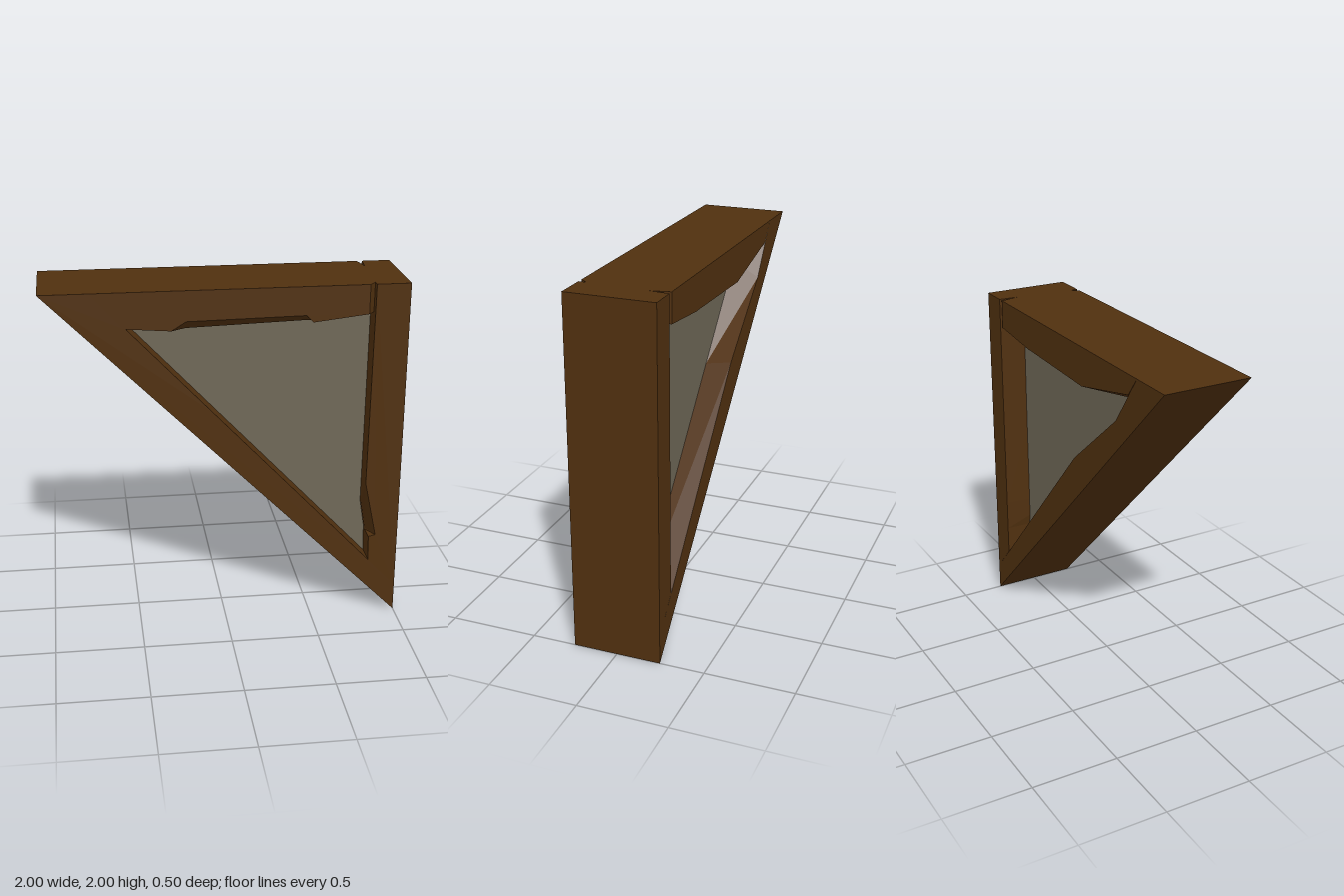
import * as THREE from 'three';

// Flat-faced solid through outlines [z, [x, y]...], listed from front to back
function loft(name, layers, material) {
  const rings = layers.map(([z, pts]) => {
    const ring = pts.map(([x, y]) => new THREE.Vector2(x, y));
    if (THREE.ShapeUtils.isClockWise(ring)) ring.reverse();
    return { z, ring };
  });
  const pos = [];
  const put = (r, i) => pos.push(r.ring[i].x, r.ring[i].y, r.z);
  const n = rings[0].ring.length;
  for (let k = 0; k < rings.length - 1; k++) {
    const f = rings[k], b = rings[k + 1];
    for (let i = 0; i < n; i++) {
      const j = (i + 1) % n;
      put(f, i); put(b, i); put(b, j);
      put(f, i); put(b, j); put(f, j);
    }
  }
  const first = rings[0], last = rings[rings.length - 1];
  for (const [a, b, c] of THREE.ShapeUtils.triangulateShape(first.ring, [])) {
    put(first, a); put(first, b); put(first, c);
  }
  for (const [a, b, c] of THREE.ShapeUtils.triangulateShape(last.ring, [])) {
    put(last, a); put(last, c); put(last, b);
  }
  const geo = new THREE.BufferGeometry();
  geo.setAttribute('position', new THREE.Float32BufferAttribute(pos, 3));
  geo.computeVertexNormals();
  const mesh = new THREE.Mesh(geo, material);
  mesh.name = name;
  return mesh;
}

export function createModel() {
  const wood = new THREE.MeshStandardMaterial({ name: 'dark wood', color: 0x50300f });
  const plaster = new THREE.MeshStandardMaterial({ name: 'grey plaster', color: 0x6e6757 });
  const group = new THREE.Group();
  group.name = 'triangularWallFrame';

  // Top beam, chipped along its lower edge and bevelled at the right joint
  const top = (left, right, edge) => [[left, 2], ...edge, [right, 1.835], [right, 2]];
  const plain = [[-0.61, 1.81], [-0.3, 1.78], [-0.22, 1.78], [0.43, 1.8], [0.47, 1.8]];
  group.add(loft('topBeam', [
    [0.25, top(-0.73, 0.775, [[-0.55, 1.8], [-0.3, 1.78], [-0.22, 1.83], [0.43, 1.84], [0.47, 1.8]])],
    [0.2, top(-0.73, 0.815, [[-0.55, 1.8], ...plain.slice(1)])],
    [-0.1, top(-0.74, 0.84, plain)],
    [-0.25, top(-0.744, 0.81, [[-0.66, 1.89], [-0.17, 1.78], [-0.1, 1.783], [0.43, 1.8], [0.47, 1.8]])],
  ], wood));

  // Upright beam, with a chip near the foot
  const upright = (edge) => [...edge, [1, 0.16], [1, 2]];
  group.add(loft('uprightBeam', [
    [0.25, upright([[0.81, 2], [0.8, 0.83], [0.87, 0.5], [0.83, 0.49], [0.835, 0.335]])],
    [0.15, upright([[0.81, 2], [0.8, 0.68], [0.83, 0.5], [0.83, 0.49], [0.835, 0.335]])],
    [-0.25, upright([[0.84, 2], [0.84, 0.68], [0.84, 0.5], [0.84, 0.49], [0.84, 0.335]])],
  ], wood));

  // Diagonal beam, chipped along its back edge
  const diagonal = (edge) => [[-1, 2], [1, 0], [1, 0.16], [0.84, 0.333], ...edge];
  const straight = [[-0.08, 1.309], [-0.536, 1.794], [-0.73, 2]];
  group.add(loft('diagonalBeam', [
    [0.25, diagonal(straight)],
    [-0.1, diagonal(straight)],
    [-0.25, diagonal([[-0.08, 1.335], [-0.536, 1.71], [-0.744, 2]])],
  ], wood));

  // Recessed infill panel
  const panel = [[-0.75, 1.9], [0.9, 0.2], [0.9, 1.9]];
  group.add(loft('infillPanel', [[0.12, panel], [-0.1, panel]], plaster));

  return group;
}
